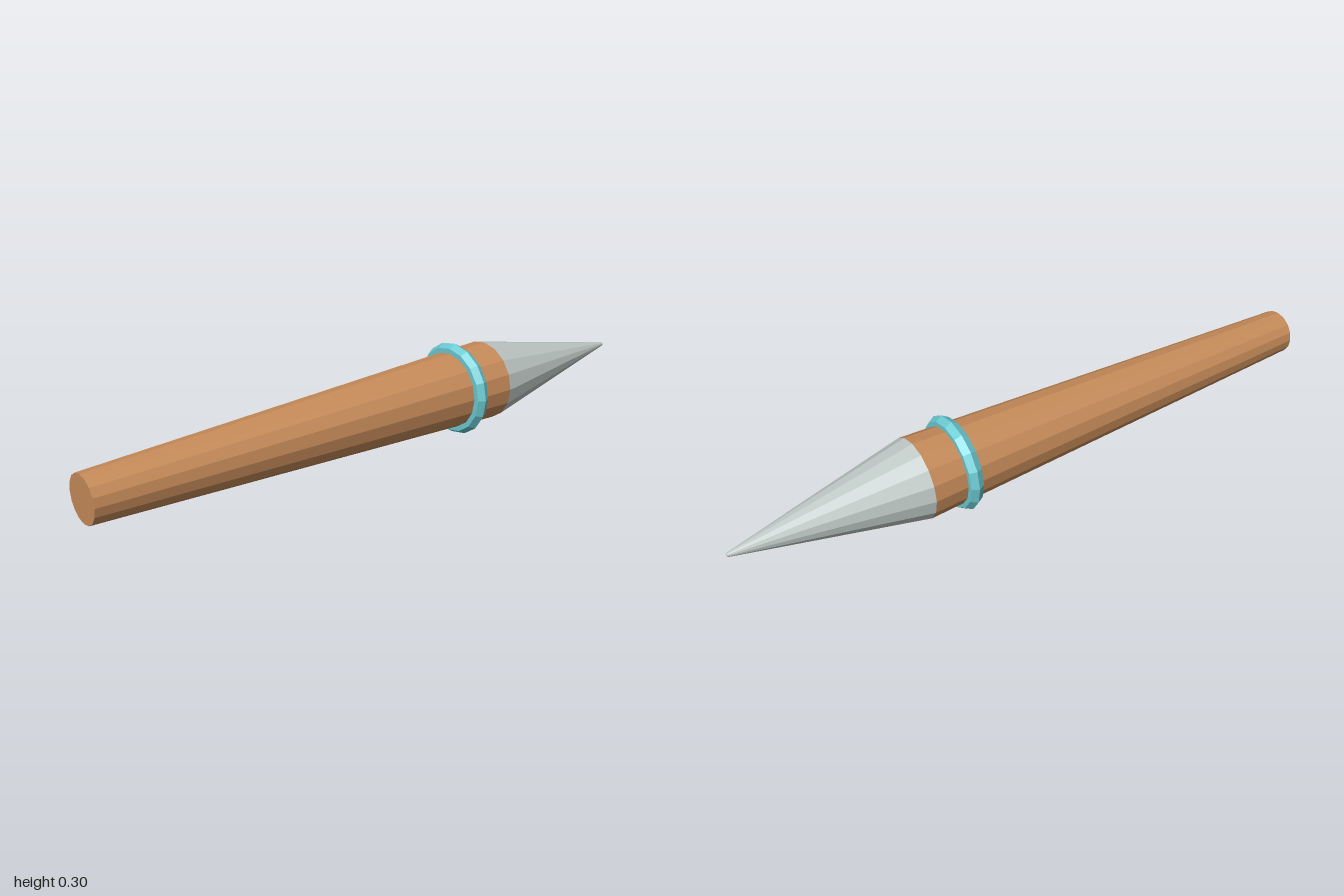
import * as THREE from 'three';

const SIDES = 16;
const AXIS_Y = 0.15;

function flatMaterial(name, color) {
  const material = new THREE.MeshStandardMaterial({ color, flatShading: true });
  material.name = name;
  return material;
}

// Tapered section along z, from the front end to the back end
function taper(name, frontRadius, backRadius, frontZ, backZ, material) {
  const geometry = new THREE.CylinderGeometry(frontRadius, backRadius, frontZ - backZ, SIDES);
  geometry.rotateX(Math.PI / 2);
  const mesh = new THREE.Mesh(geometry, material);
  mesh.name = name;
  mesh.position.set(0, AXIS_Y, (frontZ + backZ) / 2);
  return mesh;
}

export function createModel() {
  const wood = flatMaterial('wood', 0xc68b59);
  const metal = flatMaterial('pale metal', 0xbfc9c6);
  const turquoise = flatMaterial('turquoise', 0x6ccad2);

  const model = new THREE.Group();
  model.name = 'spike';

  // Wooden shaft widening towards the metal point
  model.add(taper('shaft', 0.072, 0.127, 1, -0.42, wood));
  model.add(taper('point', 0.127, 0.006, -0.42, -1, metal));

  // Six-sided ring around the shaft
  const ring = new THREE.Mesh(new THREE.TorusGeometry(0.125, 0.025, 6, SIDES), turquoise);
  ring.name = 'ring';
  ring.position.set(0, AXIS_Y, -0.29);
  model.add(ring);

  return model;
}
